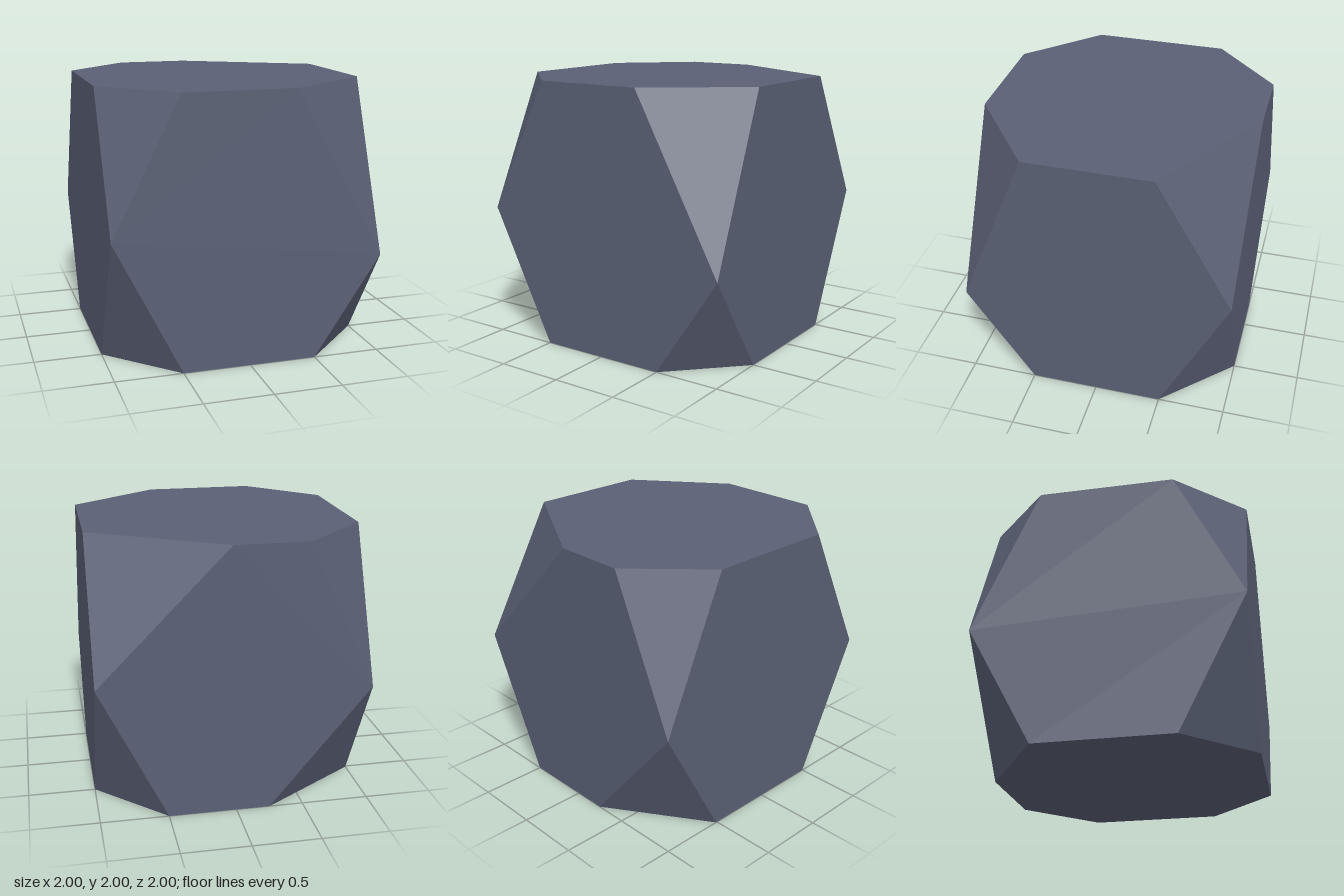
import * as THREE from 'three';
import { ConvexGeometry } from 'three/addons/geometries/ConvexGeometry.js';

// Each upright edge of the 2-unit block: its side signs, the height where its
// upper and lower corner cuts meet, and where those cuts cross the x and z edges.
const uprights = [
  { sx: 1, sz: 1, meet: 0.75, top: [0.33, 0.49], bottom: [0.5, 0.5] },
  { sx: -1, sz: 1, meet: 1.0, top: [-0.5, 0.5], bottom: [-0.5, 0.5] },
  { sx: 1, sz: -1, meet: 1.02, top: [0.04, -0.44], bottom: [0.5, -0.5] },
  { sx: -1, sz: -1, meet: 0.9, top: [-0.5, -0.51], bottom: [-0.25, -0.51] },
];

export function createModel() {
  const group = new THREE.Group();
  group.name = 'boulder';

  const slateGrey = new THREE.MeshStandardMaterial({ color: 0x5a6075 });
  slateGrey.name = 'slateGrey';
  slateGrey.flatShading = true;

  // Every corner cut is a triangle: one point on each of the three edges it crosses
  const points = [];
  for (const { sx, sz, meet, top, bottom } of uprights) {
    points.push(new THREE.Vector3(sx, meet, sz));
    for (const [y, [x, z]] of [[2, top], [0, bottom]]) {
      points.push(new THREE.Vector3(x, y, sz), new THREE.Vector3(sx, y, z));
    }
  }

  // Stone block with its eight corners cut off
  const stone = new THREE.Mesh(new ConvexGeometry(points), slateGrey);
  stone.name = 'cutStoneBlock';
  group.add(stone);
  return group;
}
